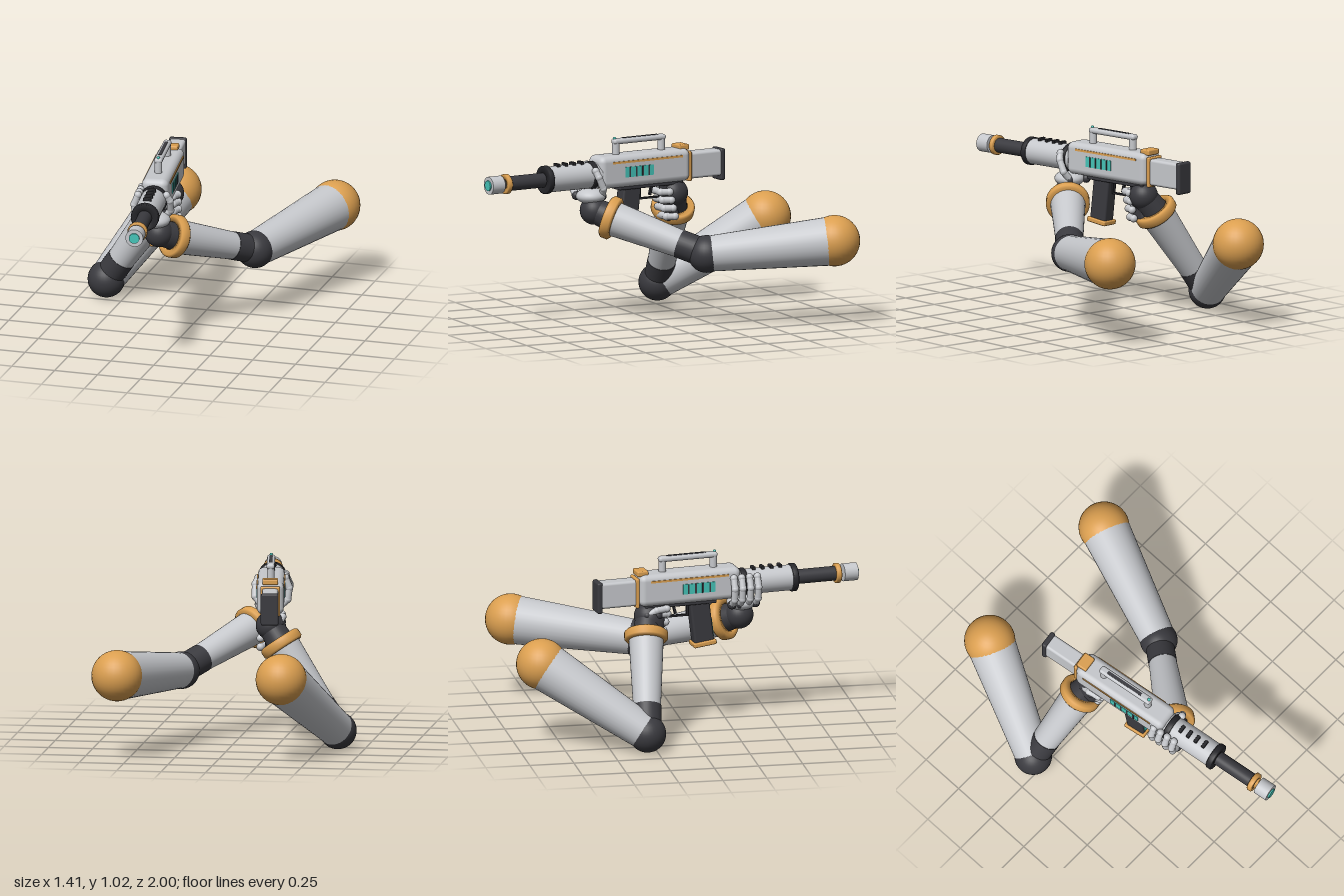
import * as THREE from 'three';
import { RoundedBoxGeometry } from 'three/addons/geometries/RoundedBoxGeometry.js';

const mat = (name, color) => Object.assign(new THREE.MeshStandardMaterial({ color }), { name });
const V = (x, y, z) => new THREE.Vector3(x, y, z);

export function createModel() {
  const shell = mat('light grey shell', 0xc6c8cc);
  const dark = mat('charcoal', 0x3a3a3f);
  const black = mat('black trim', 0x26262a);
  const amber = mat('amber', 0xdb9f50);
  const teal = mat('teal glow', 0x45c4b8);

  const model = new THREE.Group();
  const add = (parent, name, geo, material, x = 0, y = 0, z = 0) => {
    const m = new THREE.Mesh(geo, material);
    m.name = name;
    m.position.set(x, y, z);
    parent.add(m);
    return m;
  };
  const ball = (parent, name, r, material, p) =>
    add(parent, name, new THREE.SphereGeometry(r, 32, 20), material, p.x, p.y, p.z);
  const box = (parent, name, w, h, d, material, x, y, z, r = 0) =>
    add(parent, name, r ? new RoundedBoxGeometry(w, h, d, 3, r) : new THREE.BoxGeometry(w, h, d), material, x, y, z);
  // turn a mesh whose axis is +y so it points along dir
  const aim = (m, dir) => m.quaternion.setFromUnitVectors(V(0, 1, 0), dir);
  const limb = (parent, name, a, b, ra, rb, material) => {
    const dir = b.clone().sub(a), mid = a.clone().add(b).multiplyScalar(0.5);
    const m = add(parent, name, new THREE.CylinderGeometry(rb, ra, dir.length(), 32), material, mid.x, mid.y, mid.z);
    aim(m, dir.normalize());
    return m;
  };
  // bevelled ring around the y axis
  const ringGeo = (inner, outer, h, b) => new THREE.LatheGeometry([
    [inner, -h], [outer - b, -h], [outer, b - h], [outer, h - b], [outer - b, h], [inner, h], [inner, -h],
  ].map(([x, y]) => new THREE.Vector2(x, y)), 40);

  // Arms: shoulder ball, upper arm, elbow, forearm, cuff and wrist
  function arm(name, shoulder, elbow, cuff, wrist) {
    const g = new THREE.Group();
    g.name = name;
    model.add(g);
    const dir = cuff.clone().sub(elbow).normalize();
    const along = (p, d) => p.clone().addScaledVector(dir, d);
    ball(g, 'shoulder', 0.143, amber, shoulder);
    limb(g, 'upperArm', shoulder, elbow, 0.138, 0.099, shell);
    ball(g, 'elbow', 0.105, dark, elbow);
    limb(g, 'elbowSleeve', elbow, along(elbow, 0.165), 0.08, 0.08, dark);
    limb(g, 'forearm', along(elbow, 0.15), along(cuff, 0.01), 0.077, 0.099, shell);
    aim(add(g, 'wristCuff', ringGeo(0.08, 0.122, 0.03, 0.012), amber, cuff.x, cuff.y, cuff.z), dir);
    limb(g, 'wristJoint', cuff, wrist, 0.08, 0.068, dark);
    ball(g, 'wrist', 0.08, dark, wrist);
  }
  arm('leftArm', V(0.558, 0.473, -0.86), V(0.299, 0.405, -0.195), V(-0.04, 0.588, 0.235), V(-0.105, 0.625, 0.31));
  arm('rightArm', V(-0.368, 0.473, -0.86), V(-0.602, 0.105, -0.305), V(-0.275, 0.578, -0.25), V(-0.208, 0.675, -0.225));

  // Blaster, turned slightly; its barrel runs along local z
  const gun = new THREE.Group();
  gun.name = 'blaster';
  gun.position.set(-0.178, 0, 0);
  gun.rotation.y = 0.139;
  model.add(gun);
  const tube = (name, r, z0, z1, material) => {
    const m = add(gun, name, new THREE.CylinderGeometry(r, r, z1 - z0, 32), material, 0, 0.82, (z0 + z1) / 2);
    m.rotation.x = Math.PI / 2;
    return m;
  };
  const collar = (name, r, z, h, material) => {
    const m = add(gun, name, ringGeo(0.03, r, h, 0.005), material, 0, 0.82, z);
    m.rotation.x = Math.PI / 2;
  };
  tube('muzzle', 0.05, 0.915, 0.995, shell);
  tube('muzzleLens', 0.029, 0.99, 1.003, teal);
  collar('muzzleBand', 0.056, 0.882, 0.015, amber);
  tube('barrel', 0.041, 0.58, 0.88, dark);
  collar('frontCollar', 0.079, 0.62, 0.017, black);
  tube('handguard', 0.072, 0.28, 0.62, shell);
  collar('rearCollar', 0.079, 0.322, 0.017, black);
  for (let i = 0; i < 4; i++) box(gun, 'topVent', 0.046, 0.026, 0.02, black, 0, 0.893, 0.388 + i * 0.052, 0.004);

  // Receiver with side stripes and glowing panels
  box(gun, 'receiver', 0.15, 0.182, 0.594, shell, 0, 0.834, 0, 0.035);
  box(gun, 'lowerRail', 0.1, 0.04, 0.42, dark, 0, 0.745, -0.05, 0.008);
  for (const s of [-1, 1]) {
    box(gun, 'sideStripe', 0.008, 0.012, 0.46, amber, s * 0.075, 0.888, -0.008);
    box(gun, 'sidePanel', 0.008, 0.058, 0.188, teal, s * 0.075, 0.83, 0.046);
    for (let i = 0; i < 4; i++) box(gun, 'panelBar', 0.009, 0.056, 0.01, dark, s * 0.0765, 0.83, -0.016 + i * 0.042);
  }
  box(gun, 'rearSight', 0.088, 0.032, 0.066, amber, 0, 0.93, -0.272, 0.008);

  // Stock
  box(gun, 'stock', 0.09, 0.148, 0.26, shell, 0, 0.822, -0.4, 0.015);
  box(gun, 'stockBand', 0.11, 0.17, 0.022, amber, 0, 0.822, -0.305, 0.008);
  box(gun, 'buttPlate', 0.1, 0.18, 0.032, dark, 0, 0.812, -0.525, 0.012);

  // Carry handle
  for (const z of [-0.145, 0.155])
    add(gun, 'handlePost', new THREE.CylinderGeometry(0.021, 0.021, 0.09, 20), shell, 0, 0.955, z);
  box(gun, 'handleBar', 0.046, 0.032, 0.345, shell, 0, 0.996, 0.004, 0.015);
  box(gun, 'handleInlay', 0.018, 0.008, 0.23, dark, 0, 1.01, -0.005);
  ball(gun, 'frontSight', 0.009, teal, V(0, 1.013, 0.162));

  // Magazine, leaning forward
  const mag = new THREE.Group();
  mag.name = 'magazine';
  mag.position.set(0, 0.73, 0.065);
  mag.rotation.x = -0.12;
  gun.add(mag);
  box(mag, 'magazineBody', 0.076, 0.25, 0.115, dark, 0, -0.11, 0, 0.012);
  box(mag, 'magazineBase', 0.1, 0.028, 0.135, amber, 0, -0.238, 0, 0.008);
  box(mag, 'magazineLight', 0.042, 0.1, 0.008, teal, 0, -0.16, 0.058);

  // Grip and trigger guard
  const grip = box(gun, 'grip', 0.06, 0.24, 0.085, dark, 0, 0.64, -0.195, 0.02);
  grip.rotation.x = 0.15;
  box(gun, 'guardFront', 0.018, 0.085, 0.01, black, 0, 0.7, 0);
  box(gun, 'guardBottom', 0.018, 0.01, 0.15, black, 0, 0.66, -0.07);
  const trigger = box(gun, 'trigger', 0.014, 0.055, 0.014, black, 0, 0.7, -0.075);
  trigger.rotation.x = -0.25;

  // Fingers: tapered light segments with ball joints
  const finger = (name, pts, r) => {
    const g = new THREE.Group();
    g.name = name;
    gun.add(g);
    pts.forEach((p, i) => {
      ball(g, 'knuckle', r * (i ? 1.05 : 1.25), i ? shell : dark, p);
      if (i) limb(g, 'fingerSegment', pts[i - 1], p, r, r * 0.92, shell);
    });
  };
  // Left hand cradles the handguard from below
  add(gun, 'leftPalm', new THREE.SphereGeometry(1, 28, 18), shell, 0.01, 0.705, 0.325).scale.set(0.085, 0.045, 0.085);
  for (let i = 0; i < 4; i++) {
    const z = 0.25 + i * 0.046;
    finger('leftFinger', [V(-0.045, 0.705, z), V(-0.09, 0.745, z), V(-0.1, 0.81, z), V(-0.078, 0.868, z)], 0.02);
  }
  finger('leftThumb', [V(0.055, 0.705, 0.28), V(0.092, 0.755, 0.295), V(0.092, 0.82, 0.325), V(0.075, 0.855, 0.335)], 0.02);

  // Right hand wraps the grip
  add(gun, 'rightPalm', new THREE.SphereGeometry(1, 28, 18), dark, -0.04, 0.645, -0.215).scale.set(0.05, 0.09, 0.07);
  for (let i = 0; i < 4; i++) {
    const y = 0.69 - i * 0.047, z = -0.012 * i;
    finger('rightFinger', [V(-0.06, y, z - 0.19), V(-0.045, y, z - 0.13), V(0.035, y, z - 0.12), V(0.056, y, z - 0.165)], 0.021);
  }
  finger('rightThumb', [V(-0.05, 0.69, -0.25), V(-0.068, 0.72, -0.2), V(-0.064, 0.725, -0.14)], 0.02);

  return model;
}
